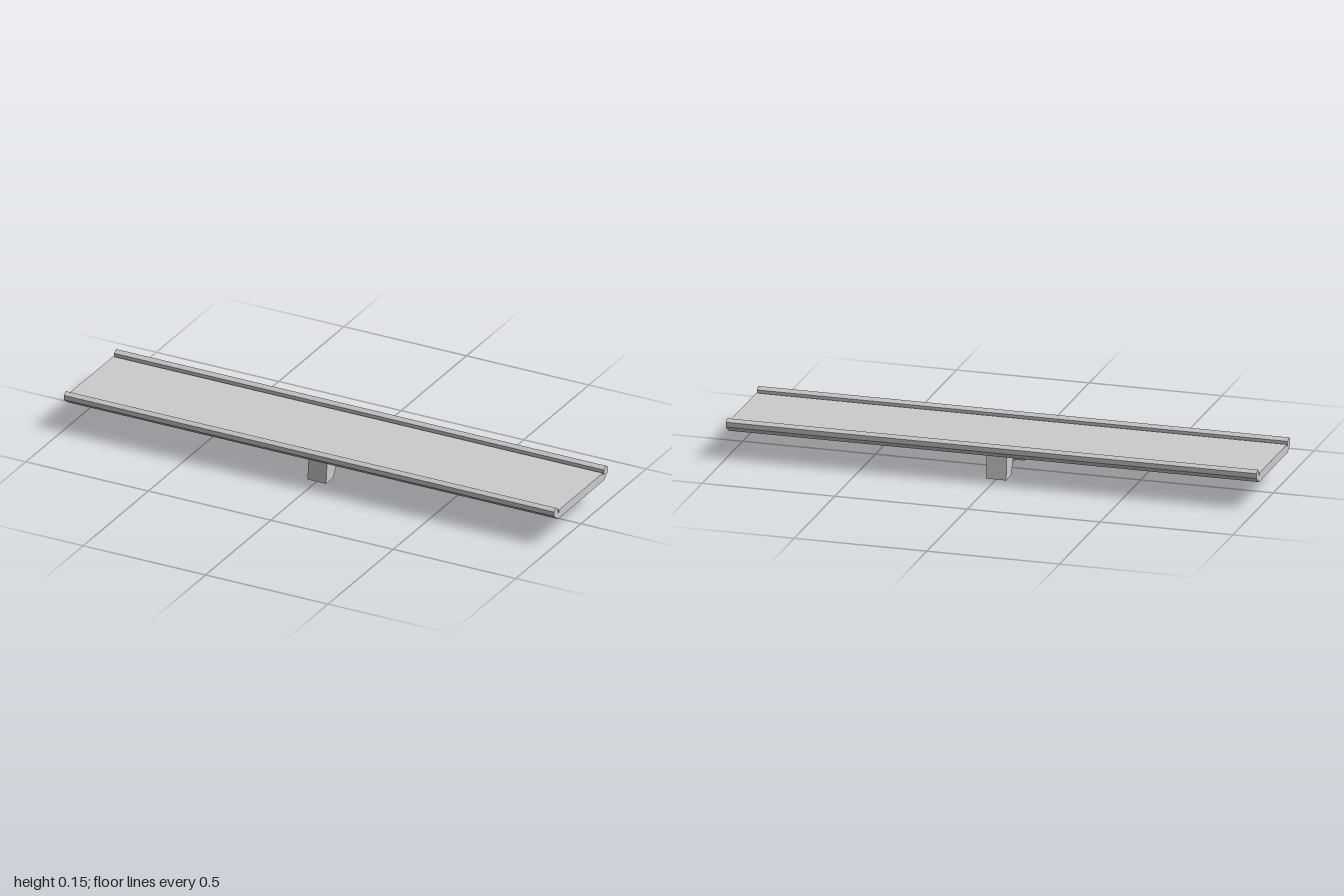
import * as THREE from 'three';

const material = new THREE.MeshStandardMaterial({ color: 0xcccccc, flatShading: true });

// Mirrors half a cross-section [z, y] and extrudes it along x, centred
function extrudeProfile(half, length) {
  const mirrored = half.map(([z, y]) => [-z, y]).reverse();
  const shape = new THREE.Shape([...half, ...mirrored].map(([z, y]) => new THREE.Vector2(z, y)));
  const geometry = new THREE.ExtrudeGeometry(shape, { depth: length, bevelEnabled: false });
  geometry.translate(0, 0, -length / 2);
  geometry.rotateY(Math.PI / 2);
  return geometry;
}

function addPart(group, name, geometry) {
  const mesh = new THREE.Mesh(geometry, material);
  mesh.name = name;
  group.add(mesh);
}

export function createModel() {
  const group = new THREE.Group();
  group.name = 'trackSection';

  // Long deck with a groove and a faceted guard rail along each edge
  const deck = extrudeProfile([
    [0.176, 0.097], [0.208, 0.121], [0.208, 0.139], [0.192, 0.149],
    [0.176, 0.139], [0.176, 0.121], [0.168, 0.121], [0.168, 0.13],
  ], 2);
  addPart(group, 'deckWithRails', deck);

  // Arched support with splayed legs
  const support = extrudeProfile([
    [0.056, 0.062], [0.086, 0], [0.148, 0], [0.138, 0.098],
  ], 0.076);

  // The arch opening flares slightly towards +x
  const p = support.attributes.position;
  for (let i = 0; i < p.count; i++) {
    const z = p.getZ(i), y = p.getY(i);
    if (p.getX(i) < 0 || Math.abs(z) > 0.1) continue;
    if (y > 0.03) p.setY(i, 0.068);
    else p.setZ(i, z + Math.sign(z) * 0.005);
  }
  support.computeVertexNormals();
  addPart(group, 'archedSupport', support);

  return group;
}
